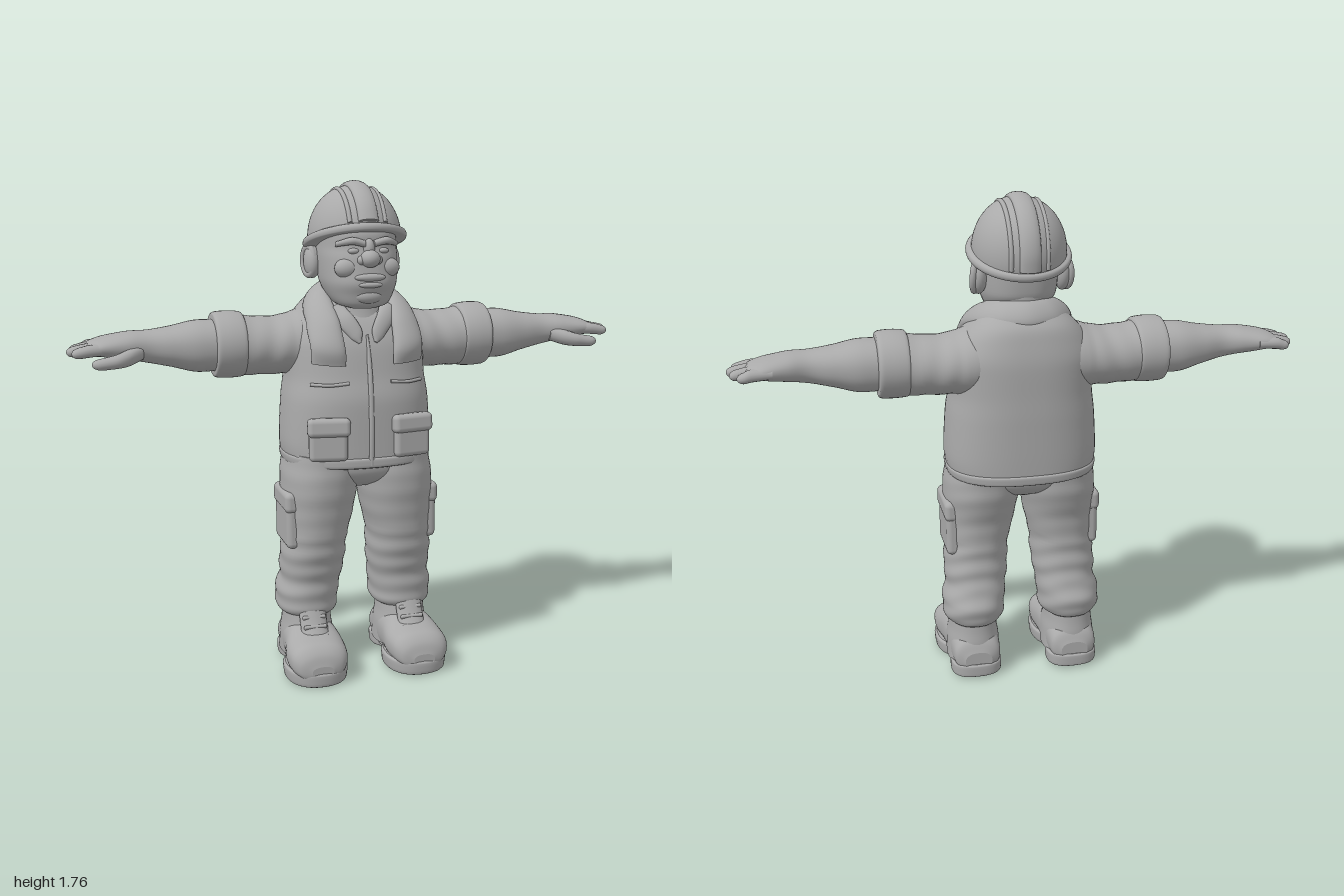
import * as THREE from 'three';
import { RoundedBoxGeometry } from 'three/addons/geometries/RoundedBoxGeometry.js';

const grey = new THREE.MeshStandardMaterial({ color: 0xaaaaaa });
grey.name = 'clay grey';

// Monotone smooth interpolation between rows of numbers
function smoothRows(rows, steps) {
  const slope = (i, k) => {
    const a = i > 0 ? rows[i][k] - rows[i - 1][k] : null;
    const b = i < rows.length - 1 ? rows[i + 1][k] - rows[i][k] : null;
    if (a === null) return b;
    if (b === null) return a;
    return a * b <= 0 ? 0 : (2 * a * b) / (a + b);
  };
  const out = [];
  for (let i = 0; i < rows.length - 1; i++) {
    for (let s = 0; s < steps; s++) {
      const t = s / steps, t2 = t * t, t3 = t2 * t;
      out.push(rows[i].map((p, k) => (2 * t3 - 3 * t2 + 1) * p + (t3 - 2 * t2 + t) * slope(i, k)
        + (3 * t2 - 2 * t3) * rows[i + 1][k] + (t3 - t2) * slope(i + 1, k)));
    }
  }
  out.push(rows[rows.length - 1]);
  return out;
}

// Closed skin over rings of points, with flat caps
function skin(rings) {
  const n = rings[0].length, pos = [], idx = [];
  rings.forEach(r => r.forEach(p => pos.push(p.x, p.y, p.z)));
  for (let i = 0; i < rings.length - 1; i++) {
    for (let j = 0; j < n; j++) {
      const a = i * n + j, b = i * n + (j + 1) % n;
      idx.push(a, a + n, b, b, a + n, b + n);
    }
  }
  [rings[0], rings[rings.length - 1]].forEach((r, end) => {
    const base = pos.length / 3, c = new THREE.Vector3();
    r.forEach(p => { pos.push(p.x, p.y, p.z); c.addScaledVector(p, 1 / n); });
    pos.push(c.x, c.y, c.z);
    for (let j = 0; j < n; j++) {
      const a = base + j, b = base + (j + 1) % n;
      if (end) idx.push(a, base + n, b); else idx.push(a, b, base + n);
    }
  });
  const g = new THREE.BufferGeometry();
  g.setAttribute('position', new THREE.Float32BufferAttribute(pos, 3));
  g.setIndex(idx);
  g.computeVertexNormals();
  return g;
}

// Superellipse loft; rows are [t, centreU, centreV, radiusU, radiusV]
// axis y: u=x, v=z   axis x: u=z, v=y   axis z: u=y, v=x
function loft(axis, rows, { power = 2, sides = 40, steps = 6, bump = null } = {}) {
  const sorted = [...rows].sort((a, b) => a[0] - b[0]);
  return skin(smoothRows(sorted, steps).map(([t, cu, cv, ru, rv]) => {
    const ring = [];
    for (let j = 0; j < sides; j++) {
      const q = (j / sides) * Math.PI * 2, c = Math.cos(q), s = Math.sin(q);
      const k = bump ? 1 + bump(t, q) : 1;
      const u = cu + k * ru * Math.sign(c) * Math.abs(c) ** (2 / power);
      const v = cv + k * rv * Math.sign(s) * Math.abs(s) ** (2 / power);
      ring.push(axis === 'y' ? new THREE.Vector3(u, t, v)
        : axis === 'x' ? new THREE.Vector3(t, v, u) : new THREE.Vector3(v, u, t));
    }
    return ring;
  }));
}

// Flattened sweep; rows are [x, y, z, half-width vector x, y, z, half thickness]
function ribbon(rows, steps = 6, sides = 16) {
  const fine = smoothRows(rows, steps);
  const P = fine.map(r => new THREE.Vector3(r[0], r[1], r[2]));
  return skin(fine.map((r, i) => {
    const T = P[Math.min(i + 1, P.length - 1)].clone().sub(P[Math.max(i - 1, 0)]);
    const w = new THREE.Vector3(r[3], r[4], r[5]);
    const n = w.clone().cross(T).normalize().multiplyScalar(r[6]);
    return Array.from({ length: sides }, (_, j) => {
      const q = (j / sides) * Math.PI * 2;
      return P[i].clone().addScaledVector(w, Math.cos(q)).addScaledVector(n, Math.sin(q));
    });
  }));
}

function ball(x, y, z, rx, ry, rz, tilt = 0) {
  return new THREE.SphereGeometry(1, 24, 16).scale(rx, ry, rz).rotateX(tilt).translate(x, y, z);
}

function block(w, h, d, r, x, y, z, rx = 0, ry = 0) {
  return new RoundedBoxGeometry(w, h, d, 3, r).rotateX(rx).rotateY(ry).translate(x, y, z);
}

function mirrored(geo) {
  const g = geo.clone().applyMatrix4(new THREE.Matrix4().makeScale(-1, 1, 1));
  if (!g.index) g.setIndex(Array.from({ length: g.attributes.position.count }, (_, i) => i));
  const a = g.index.array;
  for (let i = 0; i < a.length; i += 3) [a[i + 1], a[i + 2]] = [a[i + 2], a[i + 1]];
  return g;
}

export function createModel() {
  const model = new THREE.Group();
  model.name = 'worker';
  const add = (name, geo, parent = model) => {
    const m = new THREE.Mesh(geo, grey);
    m.name = name;
    parent.add(m);
  };
  const pair = (name, geo) => {
    add('left' + name, geo);
    add('right' + name, mirrored(geo));
  };

  // Vest body and neck
  add('vest', loft('y', [[.775, 0, -.015, .235, .19], [.787, 0, -.018, .258, .21], [.86, 0, -.02, .27, .212],
    [1, 0, -.022, .262, .213], [1.1, 0, -.032, .25, .203], [1.2, 0, -.042, .25, .194],
    [1.28, 0, -.055, .22, .17], [1.34, 0, -.07, .17, .135], [1.38, 0, -.07, .125, .1]], { power: 2.5, sides: 64 }));
  add('vestHem', loft('y', [[.78, 0, -.018, .255, .208], [.787, 0, -.018, .266, .217], [.81, 0, -.019, .27, .218],
    [.818, 0, -.019, .262, .209]], { power: 2.5, sides: 64, steps: 3 }));
  add('neck', loft('y', [[1.24, 0, -.02, .13, .14], [1.34, 0, -.025, .112, .12], [1.48, 0, -.03, .11, .115]]));
  add('zip', ribbon([[0, .79, .193, .009, 0, 0, .007], [0, .9, .195, .009, 0, 0, .007],
    [0, 1.05, .184, .009, 0, 0, .007], [0, 1.15, .164, .008, 0, 0, .007], [0, 1.24, .138, .004, 0, 0, .007]]));

  // Shawl collar running round the neck
  const half = [[.142, 1.145, .153, .056, .004, -.02, .018], [.143, 1.19, .155, .057, .008, -.02, .027],
    [.147, 1.26, .115, .054, -.012, -.02, .03], [.148, 1.325, .035, .046, -.035, .004, .03],
    [.125, 1.362, -.07, .04, -.038, -.01, .028], [.07, 1.373, -.143, .022, -.038, -.027, .025]];
  const flip = half.map(([x, y, z, a, b, c, t]) => [-x, y, z, -a, b, c, t]).reverse();
  add('collar', ribbon([...half, [0, 1.374, -.165, 0, -.038, -.03, .024], ...flip], 8, 24));
  pair('ShirtCollar', ribbon([[.095, 1.33, .07, .025, -.012, .01, .014], [.07, 1.29, .115, .028, -.014, 0, .014],
    [.04, 1.245, .137, .022, -.012, 0, .012], [.028, 1.215, .148, .005, -.003, 0, .006]]));

  // Vest pockets
  pair('VestPocket', block(.135, .125, .05, .018, .15, .875, .172, -.02, .16));
  pair('VestPocketFlap', block(.15, .065, .055, .018, .15, .932, .18, -.1, .16));
  pair('ChestSeam', ribbon([[.075, 1.08, .172, 0, .006, 0, .007], [.14, 1.075, .164, 0, .006, 0, .007],
    [.2, 1.075, .128, 0, .006, 0, .007]]));

  // Sleeves, rolled cuffs and forearms
  pair('Sleeve', loft('x', [[.08, -.07, 1.21, .12, .1], [.18, -.064, 1.2, .137, .117], [.25, -.062, 1.192, .132, .105],
    [.32, -.06, 1.19, .124, .102], [.42, -.056, 1.197, .12, .107]],
  { bump: (t, q) => .014 * Math.sin(t * 75 + 2 * Math.sin(q)) * (t > .22 ? 1 : 0) }));
  pair('Cuff', loft('x', [[.395, -.056, 1.198, .11, .1], [.405, -.056, 1.199, .123, .113], [.45, -.056, 1.2, .126, .117],
    [.49, -.057, 1.2, .125, .115], [.503, -.057, 1.2, .118, .108], [.505, -.056, 1.2, .1, .09]], { steps: 4 }));
  pair('Forearm', loft('x', [[.45, -.05, 1.2, .1, .088], [.55, -.05, 1.2, .1, .09], [.65, -.048, 1.203, .083, .07],
    [.73, -.046, 1.207, .068, .056], [.8, -.05, 1.212, .079, .048], [.87, -.056, 1.212, .086, .036],
    [.92, -.058, 1.207, .08, .025], [.94, -.058, 1.205, .06, .012]], { power: 2.2 }));
  [[-.123, .965], [-.082, .99], [-.038, 1], [.006, .985]].forEach(([z, tip], i) => {
    pair('Finger' + (i + 1), loft('x', [[.85, z, 1.21, .02, .018], [.92, z, 1.207, .023, .021],
      [tip - .02, z, 1.2, .021, .018], [tip - .005, z, 1.199, .014, .011], [tip, z, 1.199, .003, .003]],
    { sides: 14, steps: 4 }));
  });
  pair('Thumb', loft('x', [[.75, 0, 1.195, .025, .025], [.8, .03, 1.182, .032, .028], [.85, .048, 1.172, .025, .023],
    [.9, .047, 1.166, .022, .019], [.92, .045, 1.166, .012, .01], [.924, .045, 1.166, .003, .003]], { sides: 16 }));

  // Trousers with gathered ankles and cargo pockets
  add('trouserSeat', loft('y', [[.69, 0, -.005, .05, .09], [.72, 0, -.007, .16, .145], [.76, 0, -.01, .235, .175],
    [.83, 0, -.015, .25, .185]], { power: 2.3 }));
  pair('TrouserLeg', loft('y', [[.82, .13, -.01, .13, .185], [.72, .139, -.005, .136, .18], [.6, .147, .003, .125, .153],
    [.5, .158, 0, .114, .14], [.41, .165, -.012, .116, .131], [.35, .168, -.025, .11, .126], [.285, .179, -.04, .113, .134],
    [.24, .18, -.041, .111, .13], [.215, .18, -.04, .102, .118], [.205, .18, -.04, .09, .105]],
  { power: 2.2, sides: 48, steps: 8,
    bump: (y, q) => (y < .52 ? .02 : .006) * Math.sin(y * 85 + 2.2 * Math.sin(q) + 1.2 * Math.cos(2 * q)) }));
  pair('CargoPocket', block(.05, .19, .19, .02, .255, .57, .0));
  pair('CargoPocketFlap', block(.055, .075, .2, .02, .258, .645, .0));

  // Boots
  pair('BootShaft', loft('y', [[.05, .182, -.04, .098, .12], [.12, .182, -.03, .096, .122], [.18, .182, -.033, .088, .112],
    [.26, .182, -.038, .085, .102]], { power: 2.2 }));
  pair('BootFoot', loft('z', [[-.163, .07, .182, .035, .05], [-.14, .085, .182, .065, .083], [-.04, .1, .182, .09, .094],
    [.05, .1, .184, .085, .1], [.13, .09, .188, .07, .109], [.19, .085, .19, .064, .103], [.225, .07, .19, .048, .078],
    [.238, .058, .19, .022, .04]], { power: 2.4 }));
  pair('BootTongue', ribbon([[.184, .13, .125, .05, 0, 0, .025], [.184, .175, .092, .05, 0, 0, .025],
    [.184, .24, .06, .05, 0, 0, .025]]));
  for (let i = 0; i < 3; i++) {
    pair('Lace' + (i + 1), block(.085, .014, .018, .006, .184, .15 + i * .03, .128 - i * .019, -.9));
  }
  pair('Sole', loft('y', [[0, .188, .115, .1, .115], [.008, .188, .115, .11, .126], [.045, .188, .115, .114, .129],
    [.055, .188, .115, .106, .122]], { power: 2.3, steps: 3 }));
  pair('Shank', block(.16, .035, .16, .012, .184, .038, -.02));
  pair('Heel', loft('y', [[.008, .182, -.095, .084, .07], [.014, .182, -.095, .092, .076], [.05, .182, -.095, .094, .077],
    [.058, .182, -.095, .086, .07]], { power: 2.6, steps: 3 }));

  // Head and face
  add('head', loft('y', [[1.33, 0, .075, .05, .055], [1.343, 0, .06, .088, .095], [1.38, 0, .035, .115, .134],
    [1.43, 0, .017, .131, .163], [1.5, 0, .007, .135, .162], [1.54, 0, .002, .133, .156], [1.58, 0, 0, .132, .158],
    [1.65, 0, -.01, .115, .13]], { power: 2.4, sides: 48 }));
  add('nose', ball(0, 1.503, .172, .034, .03, .034));
  add('noseBridge', ball(0, 1.535, .155, .02, .035, .025));
  add('lowerLip', ball(0, 1.415, .177, .042, .01, .012));
  add('upperLip', ball(0, 1.44, .172, .055, .014, .016));
  add('chin', ball(0, 1.375, .15, .05, .026, .026));
  pair('Nostril', ball(.028, 1.498, .166, .016, .016, .018));
  pair('Cheek', ball(.07, 1.47, .135, .045, .035, .033));
  pair('Eye', ball(.052, 1.528, .15, .02, .01, .012));
  pair('Brow', ribbon([[.015, 1.552, .16, 0, .012, 0, .014], [.06, 1.562, .158, 0, .013, 0, .015],
    [.105, 1.55, .122, 0, .009, 0, .011]]));
  pair('Ear', ball(.146, 1.48, -.045, .029, .058, .04, -.2));
  pair('EarRim', new THREE.TorusGeometry(.038, .011, 10, 28).scale(.85, 1.25, 1).rotateY(1.15)
    .rotateX(-.2).translate(.158, 1.483, -.045));

  // Hard hat, tipped back
  const hat = new THREE.Group();
  hat.name = 'hardHat';
  hat.position.set(0, 1.558, -.013);
  hat.rotation.x = -.29;
  model.add(hat);
  const dome = [];
  for (let i = 0; i <= 12; i++) {
    const a = (i / 12) * Math.PI * .495, c = Math.cos(a) ** .9;
    dome.push([.185 * Math.sin(a), 0, -.003, .163 * c, .184 * c]);
  }
  add('hatDome', loft('y', dome, { sides: 56, steps: 2 }), hat);
  add('hatBrim', loft('y', [[-.016, 0, 0, .166, .186], [-.014, 0, 0, .177, .195], [-.003, 0, 0, .181, .199],
    [.008, 0, 0, .177, .195], [.014, 0, 0, .162, .182]], { sides: 56, steps: 3 }), hat);
  const arch = (x, width, height, lift) => Array.from({ length: 13 }, (_, i) => {
    const a = .1 + (i / 12) * (Math.PI - .2);
    return [x, height * Math.sin(a), -.003 + (height - .002) * Math.cos(a), width, 0, 0, lift];
  });
  add('hatRidge', ribbon(arch(0, .036, .184, .017), 3), hat);
  [-1, 1].forEach(s => add(s > 0 ? 'leftHatRib' : 'rightHatRib', ribbon(arch(s * .062, .008, .172, .008), 3), hat));

  return model;
}
